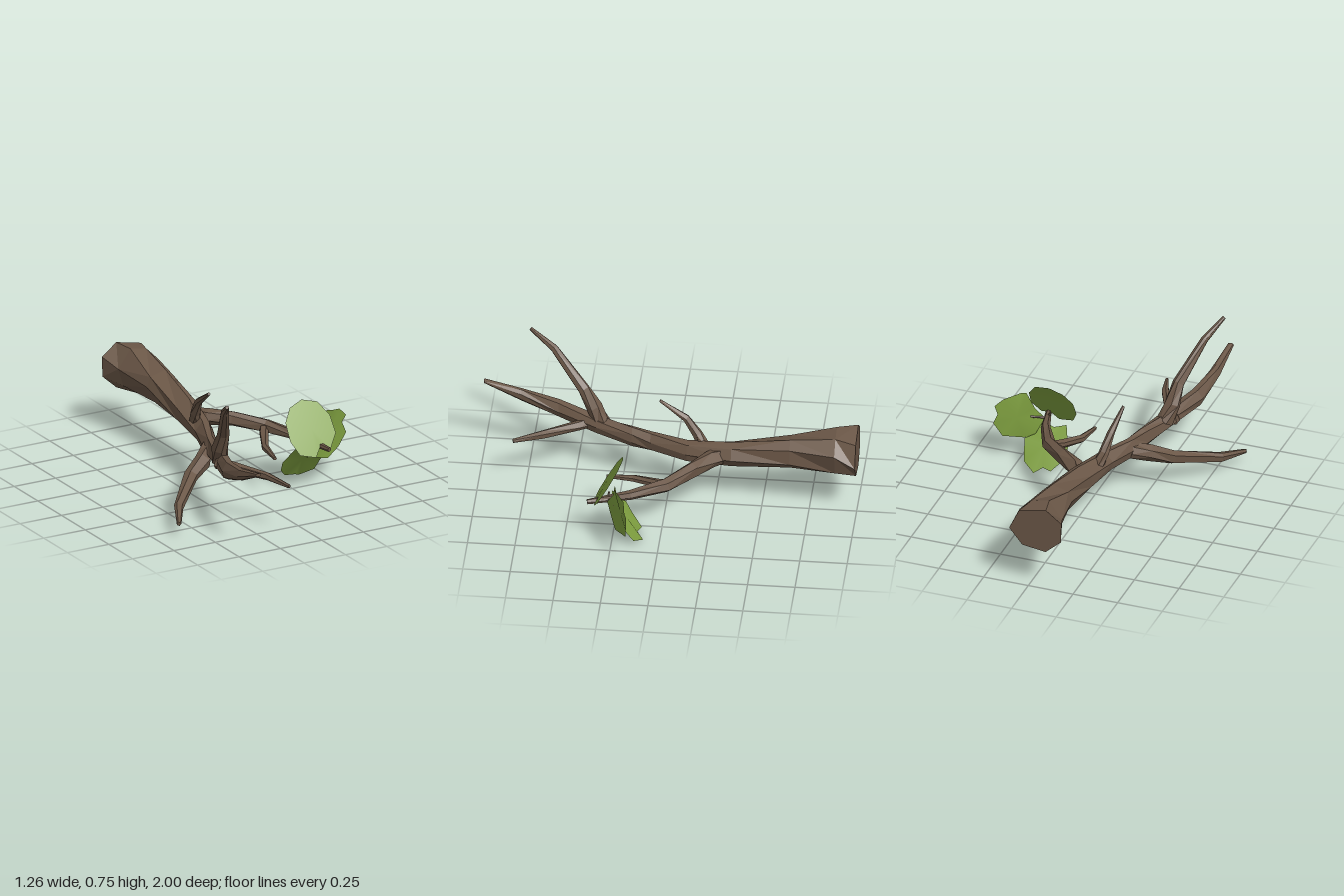
import * as THREE from 'three';

const bark = new THREE.MeshStandardMaterial({ color: 0x6b5747, flatShading: true, side: THREE.DoubleSide });
const green = new THREE.MeshStandardMaterial({ color: 0x7fa040, side: THREE.DoubleSide });

// Small seeded noise in the range -1..1 for the bark facets
function makeNoise(seed) {
  let s = seed;
  return () => {
    s = (s * 16807) % 2147483647;
    return (s / 2147483647) * 2 - 1;
  };
}

// Tapered limb through stations [x, y, z, radius, verticalRadius]; rings follow the path or a fixed axis
function limb(name, stations, sides, seed, axis) {
  const noise = makeNoise(seed);
  const centres = stations.map(([x, y, z]) => new THREE.Vector3(x, y, z));
  const rings = stations.map(([, , , r, rv = r], i) => {
    const t = axis ? axis.clone() : centres[Math.min(i + 1, centres.length - 1)].clone()
      .sub(centres[Math.max(i - 1, 0)]).normalize();
    const u = new THREE.Vector3(0, 1, 0).cross(t).normalize();
    const v = t.clone().cross(u);
    return Array.from({ length: sides }, (_, j) => {
      const a = ((j + 0.2 * noise()) / sides) * Math.PI * 2 + i * 0.25;
      const k = 1.04 + 0.08 * noise();
      return centres[i].clone().addScaledVector(u, Math.cos(a) * r * k).addScaledVector(v, Math.sin(a) * rv * k);
    });
  });
  const pos = [];
  const tri = (...pts) => pts.forEach((p) => pos.push(p.x, p.y, p.z));
  const last = rings.length - 1;
  for (let j = 0; j < sides; j++) {
    const n = (j + 1) % sides;
    for (let i = 0; i < last; i++) {
      const a = rings[i][j], b = rings[i][n], c = rings[i + 1][n], d = rings[i + 1][j];
      if (noise() > 0) { tri(a, b, c); tri(a, c, d); }
      else { tri(a, b, d); tri(b, c, d); }
    }
    tri(centres[0], rings[0][n], rings[0][j]);
    tri(centres[last], rings[last][j], rings[last][n]);
  }
  const geo = new THREE.BufferGeometry();
  geo.setAttribute('position', new THREE.Float32BufferAttribute(pos, 3));
  geo.computeVertexNormals();
  const mesh = new THREE.Mesh(geo, bark);
  mesh.name = name;
  return mesh;
}

// Leaf: a fan over a lobed outline, on a tilted plane, with a sunken heart and a rippled rim
function leaf(name, [cx, cy, cz], [slopeX, slopeY], cup, ripple, outline) {
  const pos = [cx, cy, cz - cup];
  const index = [];
  outline.forEach(([x, y], i) => {
    pos.push(x, y, cz + slopeX * (x - cx) + slopeY * (y - cy) + (i % 2 ? ripple : -ripple));
    index.push(0, i + 1, ((i + 1) % outline.length) + 1);
  });
  const geo = new THREE.BufferGeometry();
  geo.setAttribute('position', new THREE.Float32BufferAttribute(pos, 3));
  geo.setIndex(index);
  geo.computeVertexNormals();
  const mesh = new THREE.Mesh(geo, green);
  mesh.name = name;
  return mesh;
}

export function createModel() {
  const group = new THREE.Group();
  group.name = 'branch';

  // Main bough, cut flat at the back and tapering to the front
  group.add(limb('mainBough', [
    [-0.045, 0.355, -1, 0.15, 0.128], [-0.03, 0.35, -0.89, 0.115, 0.122],
    [-0.03, 0.333, -0.65, 0.08, 0.092], [-0.04, 0.292, -0.34, 0.07, 0.068],
    [-0.085, 0.267, -0.1, 0.05, 0.057], [-0.16, 0.265, 0.1, 0.042, 0.055],
    [-0.185, 0.27, 0.2, 0.04, 0.052], [-0.255, 0.29, 0.4, 0.042, 0.05],
    [-0.335, 0.32, 0.6, 0.04, 0.048], [-0.37, 0.37, 0.8, 0.027, 0.033],
    [-0.383, 0.435, 1, 0.016, 0.01],
  ], 7, 11, new THREE.Vector3(0, 0, 1)));

  // Side branches
  group.add(limb('upperBranch', [
    [-0.25, 0.29, 0.36, 0.045], [-0.275, 0.38, 0.41, 0.043], [-0.29, 0.48, 0.465, 0.032],
    [-0.375, 0.67, 0.63, 0.02], [-0.435, 0.745, 0.76, 0.01],
  ], 7, 23));
  group.add(limb('lowerRightBranch', [
    [-0.16, 0.255, 0.08, 0.04], [-0.24, 0.215, 0.16, 0.045], [-0.35, 0.172, 0.23, 0.037],
    [-0.54, 0.1, 0.43, 0.025], [-0.622, 0.07, 0.58, 0.012],
  ], 6, 37));
  group.add(limb('frontTwig', [
    [-0.29, 0.29, 0.4, 0.03], [-0.235, 0.285, 0.49, 0.027],
    [-0.14, 0.277, 0.67, 0.021], [-0.093, 0.26, 0.82, 0.01],
  ], 6, 41));
  group.add(limb('leftBranch', [
    [-0.06, 0.285, -0.32, 0.045], [0.02, 0.29, -0.235, 0.045], [0.12, 0.285, -0.15, 0.04],
    [0.25, 0.265, -0.02, 0.036], [0.34, 0.25, 0.16, 0.025], [0.4, 0.232, 0.38, 0.012],
  ], 6, 53));
  group.add(limb('leftTwig', [
    [0.25, 0.265, -0.05, 0.025], [0.205, 0.245, 0.03, 0.024],
    [0.14, 0.22, 0.16, 0.02], [0.115, 0.21, 0.305, 0.009],
  ], 6, 61));
  group.add(limb('uprightTwig', [
    [-0.085, 0.29, -0.19, 0.033], [-0.105, 0.36, -0.15, 0.027],
    [-0.12, 0.445, -0.09, 0.02], [-0.138, 0.535, 0.05, 0.008],
  ], 6, 71));

  // Leaves around the end of the left branch
  group.add(leaf('upperLeaf', [0.345, 0.33, 0.275], [0.1, -0.57], -0.008, 0, [
    [0.335, 0.465], [0.26, 0.435], [0.215, 0.37], [0.215, 0.28], [0.25, 0.21], [0.335, 0.19],
    [0.375, 0.24], [0.43, 0.225], [0.478, 0.29], [0.47, 0.375], [0.42, 0.445],
  ].reverse()));
  group.add(leaf('outerLeaf', [0.515, 0.25, 0.205], [-0.5, 0.05], 0.012, 0.008, [
    [0.47, 0.39], [0.5, 0.385], [0.58, 0.36], [0.625, 0.315], [0.605, 0.275], [0.63, 0.215],
    [0.58, 0.145], [0.48, 0.12], [0.385, 0.15], [0.39, 0.235], [0.43, 0.3],
  ].reverse()));
  group.add(leaf('lowerLeaf', [0.35, 0.125, 0.195], [0, 0.8], 0.012, 0.008, [
    [0.26, 0.22], [0.33, 0.195], [0.39, 0.22], [0.42, 0.155], [0.47, 0.135], [0.45, 0.035],
    [0.38, 0], [0.34, 0.022], [0.29, 0.02], [0.23, 0.075], [0.225, 0.13],
  ].reverse()));

  // Leaf stalks
  [[0.35, 0.27, 0.27], [0.45, 0.25, 0.23], [0.35, 0.17, 0.22]].forEach(([x, y, z], i) => {
    group.add(limb('leafStalk', [[0.372, 0.24, 0.27, 0.008], [x, y, z, 0.005]], 5, 83 + i));
  });
  return group;
}
